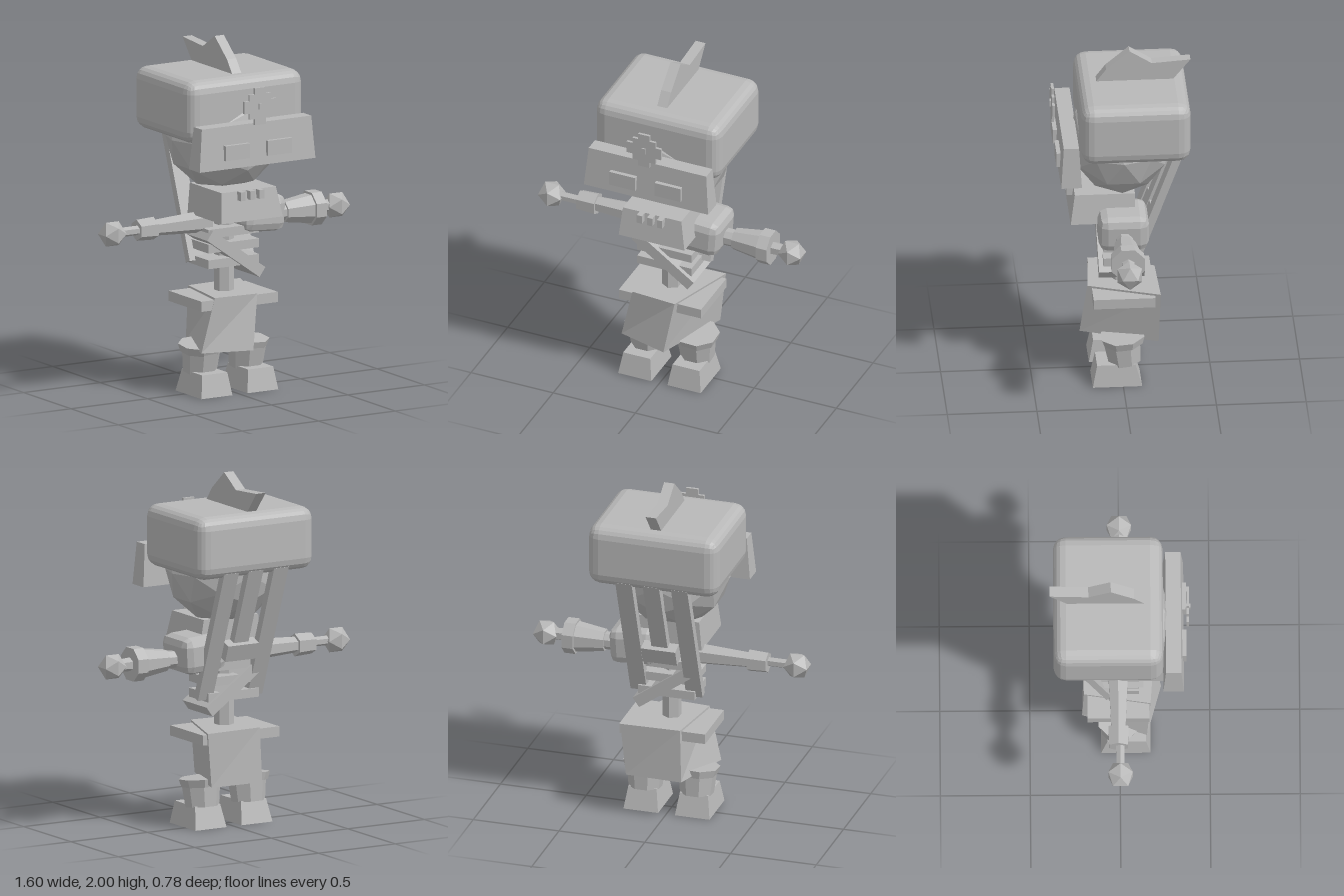
import * as THREE from 'three';
import { RoundedBoxGeometry } from 'three/addons/geometries/RoundedBoxGeometry.js';

export function createModel() {
  const model = new THREE.Group();
  const grey = new THREE.MeshStandardMaterial({ color: 0xb8b8b8, flatShading: true });
  grey.name = 'grey';

  function add(name, geometry, x = 0, y = 0, z = 0) {
    const mesh = new THREE.Mesh(geometry, grey);
    mesh.name = name;
    mesh.position.set(x, y, z);
    model.add(mesh);
    return mesh;
  }
  // Box given by its limits on each axis
  function box(name, x0, x1, y0, y1, z0, z1) {
    return add(name, new THREE.BoxGeometry(x1 - x0, y1 - y0, z1 - z0),
      (x0 + x1) / 2, (y0 + y1) / 2, (z0 + z1) / 2);
  }
  // Six-sided block; corners as [x, z]: front -x, front +x, back +x, back -x
  function block(name, y0, y1, bottom, top) {
    const g = new THREE.BoxGeometry(1, 1, 1);
    const p = g.attributes.position;
    for (let i = 0; i < p.count; i++) {
      const right = p.getX(i) > 0, front = p.getZ(i) > 0, up = p.getY(i) > 0;
      const corner = (up ? top : bottom)[front ? (right ? 1 : 0) : (right ? 2 : 3)];
      p.setXYZ(i, corner[0], up ? y1 : y0, corner[1]);
    }
    g.computeVertexNormals();
    return add(name, g);
  }
  const rect = (x0, x1, z0, z1) => [[x0, z1], [x1, z1], [x1, z0], [x0, z0]];
  // Faceted limb piece along x, with a radius at each end
  function limb(name, x0, x1, r0, r1, sides, y = 0.965, z = 0) {
    const g = new THREE.CylinderGeometry(r1, r0, x1 - x0, sides);
    g.rotateY(Math.PI / sides);
    g.rotateZ(-Math.PI / 2);
    return add(name, g, (x0 + x1) / 2, y, z);
  }

  // Head and hat
  const head = add('head', new THREE.IcosahedronGeometry(1, 1), 0, 1.45, 0);
  head.scale.set(0.34, 0.31, 0.295);
  add('hat', new RoundedBoxGeometry(0.76, 0.355, 0.61, 2, 0.07), 0.005, 1.64, -0.065);

  // Crest on the hat
  const crestShape = new THREE.Shape([
    [-0.155, 1.79], [-0.08, 1.89], [0.05, 2.0], [0.175, 1.92], [0.39, 1.935], [0.28, 1.8],
  ].map(([a, b]) => new THREE.Vector2(a, b)));
  const crestGeo = new THREE.ExtrudeGeometry(crestShape, { depth: 0.06, bevelEnabled: false });
  crestGeo.translate(0, 0, -0.03);
  crestGeo.rotateY(Math.PI / 2);
  add('crest', crestGeo);

  // Visor with eyes
  block('visor', 1.335, 1.575, rect(-0.378, 0.378, 0.24, 0.355), rect(-0.355, 0.36, 0.255, 0.34));
  for (const s of [-1, 1]) {
    const eye = box('eye', -0.079, 0.079, 1.385, 1.47, 0.34, 0.37);
    eye.position.x = s * 0.138;
  }

  // Stepped medallion in front of the hat
  const a = 0.035, b = 0.07, c = 0.105;
  const quarter = [[c, -a], [c, a], [b, a], [b, b], [a, b], [a, c]];
  const outline = [];
  for (let k = 0; k < 4; k++) {
    for (const [x, y] of quarter.slice(1)) {
      outline.push(new THREE.Vector2(x, y).rotateAround(new THREE.Vector2(), k * Math.PI / 2));
    }
  }
  add('medallion', new THREE.ExtrudeGeometry(new THREE.Shape(outline), { depth: 0.015, bevelEnabled: false }),
    0, 1.677, 0.37);
  box('medallionStud', -0.012, 0.012, 1.66, 1.695, 0.365, 0.393);

  // Jaw with teeth
  block('jaw', 1.01, 1.18, rect(-0.195, 0.205, -0.07, 0.29), rect(-0.18, 0.175, -0.07, 0.265));
  for (const x of [-0.063, 0, 0.06]) box('tooth', x - 0.016, x + 0.016, 1.13, 1.18, 0.26, 0.305);

  // Spine and ribs
  add('spine', new THREE.CylinderGeometry(0.055, 0.055, 0.6, 6), 0, 0.83, 0);
  for (const y of [0.742, 0.831, 0.915]) box('rib', -0.165, 0.165, y - 0.025, y + 0.025, -0.105, 0.105);

  // Diagonal chest strap
  const strap = add('chestStrap', new THREE.BoxGeometry(0.42, 0.065, 0.255), 0.0, 0.79, 0.003);
  strap.rotation.z = -0.62;

  // Streamers hanging behind the hat, with a knot
  for (const [x, y0, y1] of [[-0.155, 0.735, 1.5], [0.17, 0.735, 1.5], [0.01, 1.0, 1.5]]) {
    const yMid = (y0 + y1) / 2;
    const streamer = add('streamer', new THREE.BoxGeometry(0.095, (y1 - y0) / 0.939, 0.045),
      x, yMid, -0.055 - (yMid - 0.735) * 0.368);
    streamer.rotation.x = -0.352;
  }
  const knot = add('knot', new THREE.BoxGeometry(0.2, 0.1, 0.07), 0.01, 1.015, -0.175);
  knot.rotation.x = -0.352;

  // Thin right arm
  limb('rightUpperArm', -0.46, -0.1, 0.045, 0.065, 6, 0.965, -0.01);
  limb('rightCuff', -0.565, -0.455, 0.06, 0.065, 6, 0.963, -0.01);
  limb('rightWrist', -0.68, -0.56, 0.027, 0.027, 6);

  // Armoured left arm
  const pad = add('shoulderPad', new RoundedBoxGeometry(0.275, 0.21, 0.28, 1, 0.05), 0.195, 0.995, 0);
  pad.rotation.z = -0.06;
  limb('leftUpperArm', 0.3, 0.4, 0.05, 0.05, 8);
  limb('leftForearm', 0.385, 0.575, 0.062, 0.09, 8);
  limb('leftBracelet', 0.55, 0.615, 0.1, 0.1, 8);
  limb('leftWrist', 0.6, 0.69, 0.04, 0.035, 6);

  // Hands
  for (const s of [-1, 1]) add('hand', new THREE.IcosahedronGeometry(0.08, 0), s * 0.73, 0.963, 0);

  // Twisted hip block and belt
  block('hips', 0.255, 0.565,
    [[-0.24, 0.15], [0.05, 0.23], [0.205, -0.2], [-0.12, -0.21]],
    [[-0.165, 0.17], [0.1, 0.19], [0.235, -0.21], [-0.11, -0.2]]);
  box('belt', -0.25, 0.25, 0.495, 0.553, -0.18, 0.165);

  // Legs and boots
  for (const s of [-1, 1]) {
    const x = s * 0.15;
    const cuff = add('legCuff', new THREE.CylinderGeometry(0.128, 0.115, 0.045, 8), x, 0.255, -0.005);
    cuff.rotation.set(0.1, Math.PI / 8, -s * 0.04);
    const leg = add('leg', new THREE.CylinderGeometry(0.11, 0.095, 0.14, 8), x, 0.185, -0.005);
    leg.rotation.set(0.12, Math.PI / 8, 0);
    block('boot', 0.01, 0.138,
      rect(x - 0.102, x + 0.1, -0.105, 0.17), rect(x - 0.082, x + 0.082, -0.07, 0.145));
  }

  // Stand the model on the ground
  model.children.forEach((m) => { if (m.name === 'boot') m.position.y = -0.01; });
  return model;
}
